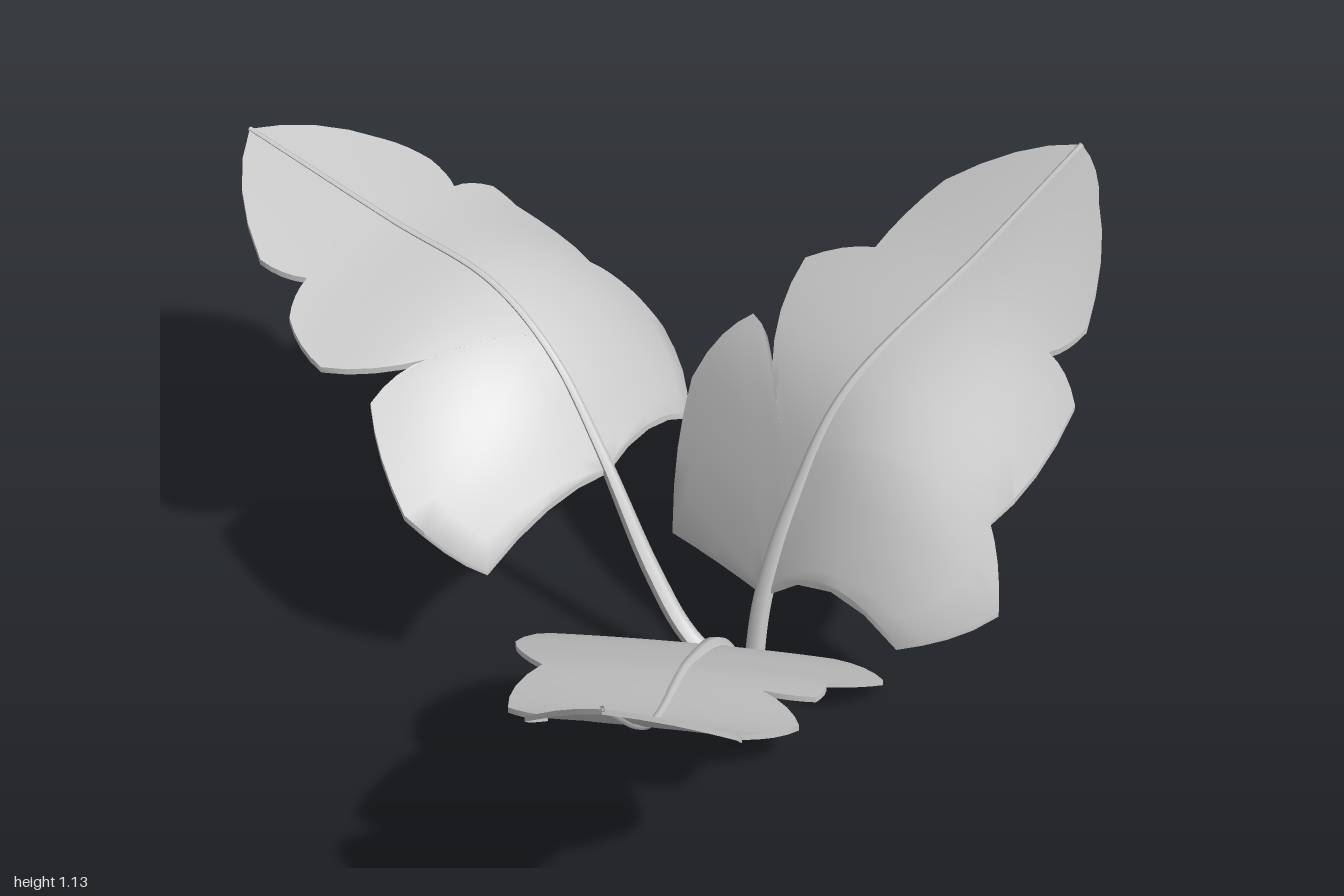
import * as THREE from 'three';
import { mergeVertices, toCreasedNormals } from 'three/addons/utils/BufferGeometryUtils.js';

const leafMaterial = new THREE.MeshStandardMaterial({ color: 0xcccccc, side: THREE.DoubleSide });
const ROOT = new THREE.Vector3(0.285, 0.02, -0.135);

function addMesh(parent, geometry, name) {
  const mesh = new THREE.Mesh(geometry, leafMaterial);
  mesh.name = name;
  parent.add(mesh);
  return mesh;
}

// distance along the leaf axis (u) and signed distance across it (v)
function toAxis({ origin, dir }, x, z) {
  const dx = x - origin[0], dz = z - origin[1];
  return [dx * dir[0] + dz * dir[1], dz * dir[0] - dx * dir[1]];
}

// point of the rib at axis distance u
function ribAt(leaf, u) {
  const { samples } = leaf;
  let i = 1;
  while (i < samples.length - 1 && toAxis(leaf, samples[i].x, samples[i].z)[0] < u) i++;
  const a = samples[i - 1], b = samples[i];
  const ua = toAxis(leaf, a.x, a.z)[0], ub = toAxis(leaf, b.x, b.z)[0];
  return a.clone().lerp(b, THREE.MathUtils.clamp((u - ua) / (ub - ua || 1), 0, 1));
}

// outline in plan: lobe tips and notches joined by arcs that bulge outwards
function scallop(leaf, keys) {
  const start = ribAt(leaf, leaf.base), tip = leaf.samples.at(-1), steps = 4;
  const corners = [[start.x, start.z], ...keys, [tip.x, tip.z]];
  const outward = -Math.sign(toAxis(leaf, ...keys[0])[1]);
  const edge = [];
  for (let i = 0; i < corners.length - 1; i++) {
    const [x, z] = corners[i], dx = corners[i + 1][0] - x, dz = corners[i + 1][1] - z;
    for (let k = 0; k < steps; k++) {
      const t = k / steps, bulge = i === 0 ? 0 : 0.28 * t * (1 - t) * outward;
      edge.push([x + dx * t + dz * bulge, z + dz * t - dx * bulge]);
    }
  }
  edge.push([tip.x, tip.z]);
  return edge;
}

// half blade: slanted rows from the rib to the outline, with a thin rim;
// it arches downwards by sag[0] at the base, changing by sag[1] along the axis
function halfBlade(leaf, sag, keys) {
  const across = 7, width = across + 2;
  const edge = scallop(leaf, keys);
  const tipU = toAxis(leaf, ...edge.at(-1))[0];
  const positions = [], index = [];
  let rootU = leaf.base;
  edge.forEach(([ex, ez], row) => {
    const [eu, ev] = toAxis(leaf, ex, ez);
    rootU = row === edge.length - 1 ? tipU : Math.min(tipU, Math.max(rootU, eu - 0.5 * Math.abs(ev)));
    const root = ribAt(leaf, rootU);
    for (let j = 0; j < width; j++) {
      const t = Math.min(j / across, 1);
      const x = root.x + (ex - root.x) * t, z = root.z + (ez - root.z) * t;
      const u = toAxis(leaf, x, z)[0], center = ribAt(leaf, u);
      const d = Math.hypot(x - center.x, z - center.z);
      positions.push(x, center.y - (sag[0] + sag[1] * u) * d * d - (j > across ? 0.014 : 0), z);
    }
    if (row === 0) return;
    const a = (row - 1) * width, b = row * width;
    for (let j = 0; j <= across; j++) index.push(a + j, b + j, a + j + 1, a + j + 1, b + j, b + j + 1);
  });
  let geometry = new THREE.BufferGeometry();
  geometry.setAttribute('position', new THREE.Float32BufferAttribute(positions, 3));
  geometry.setIndex(index);
  geometry = mergeVertices(geometry, 1e-4);
  // drop collapsed triangles where rows share a rib point
  const kept = [], merged = geometry.index.array;
  for (let i = 0; i < merged.length; i += 3) {
    const [a, b, c] = merged.slice(i, i + 3);
    if (a !== b && b !== c && a !== c) kept.push(a, b, c);
  }
  geometry.setIndex(kept);
  return toCreasedNormals(geometry, 0.8);
}

// stalk running on as a thinner, tapering rib
function stalk(curve) {
  const rings = 60, sides = 6;
  const geometry = new THREE.TubeGeometry(curve, rings, 1, sides, false);
  const p = geometry.attributes.position, v = new THREE.Vector3();
  for (let i = 0; i <= rings; i++) {
    const t = i / rings, c = curve.getPointAt(t);
    const radius = 0.022 - 0.008 * THREE.MathUtils.smoothstep(t, 0.15, 0.5) - 0.008 * t;
    for (let j = 0; j <= sides; j++) {
      const k = i * (sides + 1) + j;
      v.fromBufferAttribute(p, k).sub(c).multiplyScalar(radius).add(c);
      p.setXYZ(k, v.x, v.y, v.z);
    }
  }
  geometry.computeVertexNormals();
  return geometry;
}

// axis: plan origin and direction, and the distance where the blade starts
// rib: points [x, y, z] after the root; halves: downward arch and outline keys [x, z]
function createLeaf(name, axis, rib, halves) {
  const group = new THREE.Group();
  group.name = name;
  const curve = new THREE.CatmullRomCurve3([ROOT, ...rib.map((p) => new THREE.Vector3(...p))]);
  const leaf = { ...axis, samples: curve.getSpacedPoints(80) };
  halves.forEach(({ sag, keys }, i) => addMesh(group, halfBlade(leaf, sag, keys), i ? 'innerBlade' : 'outerBlade'));
  addMesh(group, stalk(curve), 'stalkAndRib');
  return group;
}

export function createModel() {
  const model = new THREE.Group();
  model.name = 'leafCluster';

  // nearly flat leaf reaching forward
  model.add(createLeaf('frontLeaf', { origin: [0.22, 0], dir: [0, 1], base: 0.02 },
    [[0.235, 0.235, -0.02], [0.2, 0.43, 0.28], [0.18, 0.64, 0.74], [0.13, 0.885, 0.995]],
    [
      { sag: [0.08, 0], keys: [[0.48, 0.05], [0.6, 0.22], [0.49, 0.31], [0.48, 0.42], [0.37, 0.42], [0.465, 0.6], [0.36, 0.73], [0.37, 0.86]] },
      { sag: [0.08, 0], keys: [[-0.1, -0.02], [-0.18, 0.19], [-0.09, 0.38], [-0.11, 0.67], [-0.02, 0.725], [-0.05, 0.82]] },
    ]));

  // tall arched leaf, back left
  model.add(createLeaf('leftLeaf', { origin: [0.27, -0.13], dir: [0.73, -0.683], base: 0.05 },
    [[0.303, 0.27, -0.163], [0.36, 0.51, -0.215], [0.45, 0.73, -0.305], [0.71, 0.955, -0.55], [0.9, 1.13, -0.73]],
    [
      { sag: [2.6, -2.8], keys: [[0.61, 0.015], [0.82, -0.01], [0.785, -0.1], [0.94, -0.25], [0.875, -0.33], [0.95, -0.36], [0.95, -0.58]] },
      { sag: [0.15, 0.2], keys: [[0.07, -0.41], [0.09, -0.555], [0.22, -0.58], [0.28, -0.43], [0.32, -0.68], [0.475, -0.645], [0.61, -0.765]] },
    ]));

  // wide drooping leaf, back right
  model.add(createLeaf('rightLeaf', { origin: [0.08, -0.22], dir: [-0.837, -0.547], base: 0.17 },
    [[0.14, 0.12, -0.19], [0.05, 0.25, -0.24], [-0.08, 0.5, -0.33], [-0.2, 0.68, -0.42], [-0.35, 0.78, -0.53], [-0.6, 0.815, -0.685], [-0.965, 0.885, -0.9]],
    [
      { sag: [1.35, -1], keys: [[-0.28, -0.04], [-0.46, -0.05], [-0.56, -0.21], [-0.45, -0.31], [-0.68, -0.275], [-0.77, -0.38], [-0.75, -0.48], [-0.86, -0.51]] },
      { sag: [1.8, -1.2], keys: [[0.07, -0.65], [-0.02, -0.88], [-0.09, -0.89], [-0.18, -0.83], [-0.37, -0.955], [-0.43, -1], [-0.5, -0.9], [-0.57, -0.985], [-0.68, -0.995]] },
    ]));

  // joint where the stalks meet
  addMesh(model, new THREE.SphereGeometry(0.023, 8, 6), 'stalkJoint').position.set(0.283, 0.023, -0.135);
  return model;
}
